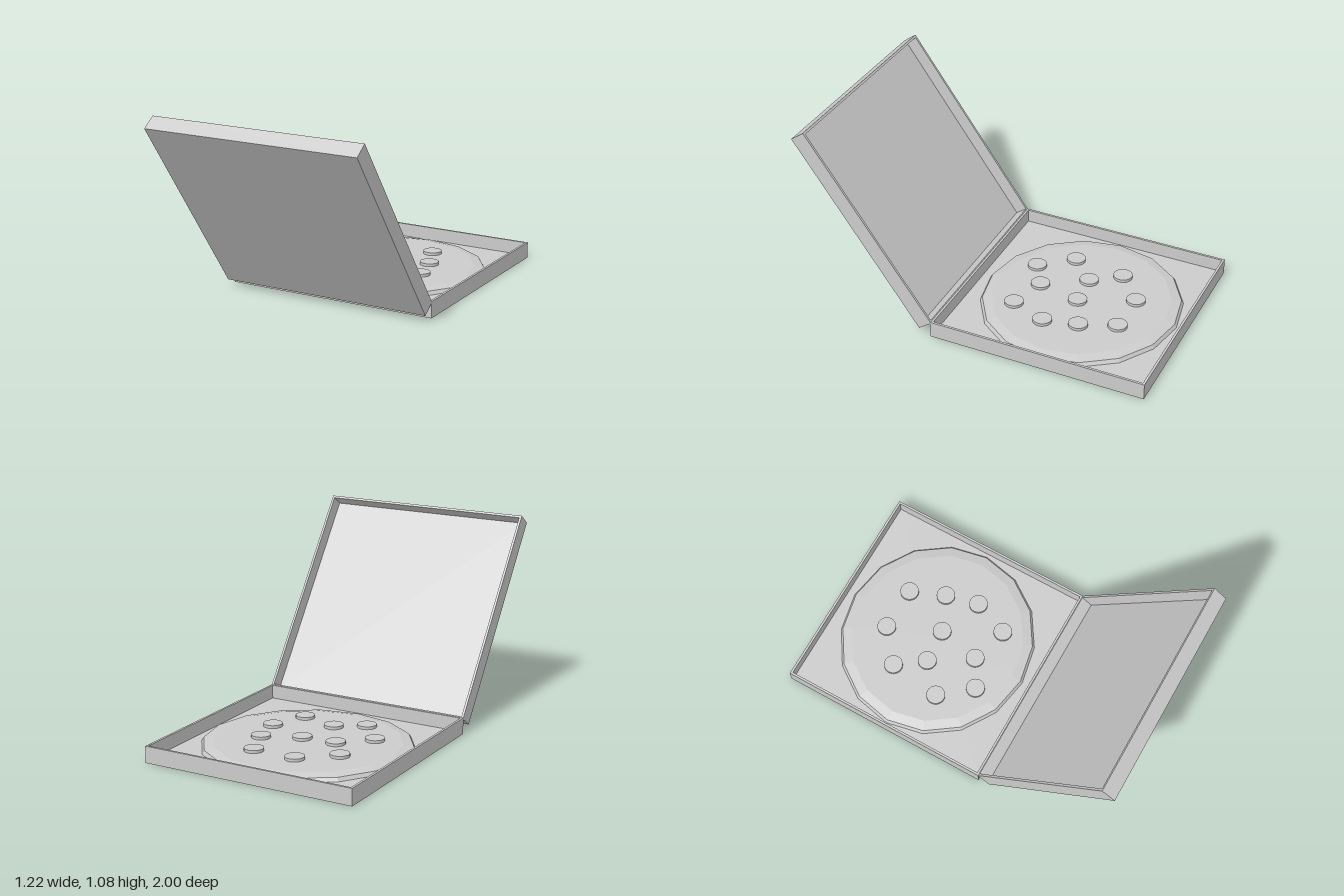
import * as THREE from 'three';

const grey = new THREE.MeshStandardMaterial({ color: 0xcccccc });
const flat = new THREE.MeshStandardMaterial({ color: 0xcccccc, flatShading: true, side: THREE.DoubleSide });

const SIZE = 1.22, WALL = 0.013, FLOOR = 0.016;

// Open square tray: base on y = 0, from z = 0 to z = SIZE
function tray(name, height) {
  const group = new THREE.Group();
  group.name = name;
  const shape = new THREE.Shape();
  const h = SIZE / 2, i = h - WALL;
  shape.moveTo(-h, -h).lineTo(h, -h).lineTo(h, h).lineTo(-h, h).closePath();
  const hole = new THREE.Path();
  hole.moveTo(-i, -i).lineTo(-i, i).lineTo(i, i).lineTo(i, -i).closePath();
  shape.holes.push(hole);
  const walls = new THREE.Mesh(
    new THREE.ExtrudeGeometry(shape, { depth: height, bevelEnabled: false })
      .rotateX(-Math.PI / 2).translate(0, 0, h), grey);
  walls.name = name + 'Walls';
  const panel = new THREE.Mesh(
    new THREE.BoxGeometry(2 * i, FLOOR, 2 * i).translate(0, FLOOR / 2, h), grey);
  panel.name = name + 'Panel';
  group.add(walls, panel);
  return group;
}

export function createModel() {
  const model = new THREE.Group();
  model.name = 'pizzaBox';

  // Box base, lying flat
  const base = tray('base', 0.092);
  base.position.z = -1;
  model.add(base);

  // Lid, swung open at the front hinge
  const lid = tray('lid', 0.09);
  lid.position.set(0, 0.034, 0.288);
  lid.rotation.x = -0.947;
  model.add(lid);

  // Pizza: low 16-sided disc with a sloping crust
  const profile = [[0.577, FLOOR], [0.565, 0.036], [0.51, 0.047], [0, 0.047]]
    .map(([r, y]) => new THREE.Vector2(r, y));
  const pizza = new THREE.Mesh(new THREE.LatheGeometry(profile, 16), flat);
  pizza.name = 'pizza';
  pizza.scale.z = 0.958;
  pizza.position.z = -0.393;
  model.add(pizza);

  // Round topping slices
  const slices = [
    [-0.09, -0.675], [0.16, -0.67], [-0.27, -0.525], [0.24, -0.475],
    [-0.155, -0.37], [0.04, -0.385], [0.285, -0.285], [-0.31, -0.225],
    [-0.01, -0.14], [-0.165, -0.05], [0.205, -0.08],
  ];
  const sliceGeometry = new THREE.CylinderGeometry(0.053, 0.053, 0.022, 24);
  slices.forEach(([x, z]) => {
    const slice = new THREE.Mesh(sliceGeometry, grey);
    slice.name = 'toppingSlice';
    slice.position.set(x, 0.052, z);
    model.add(slice);
  });

  return model;
}
